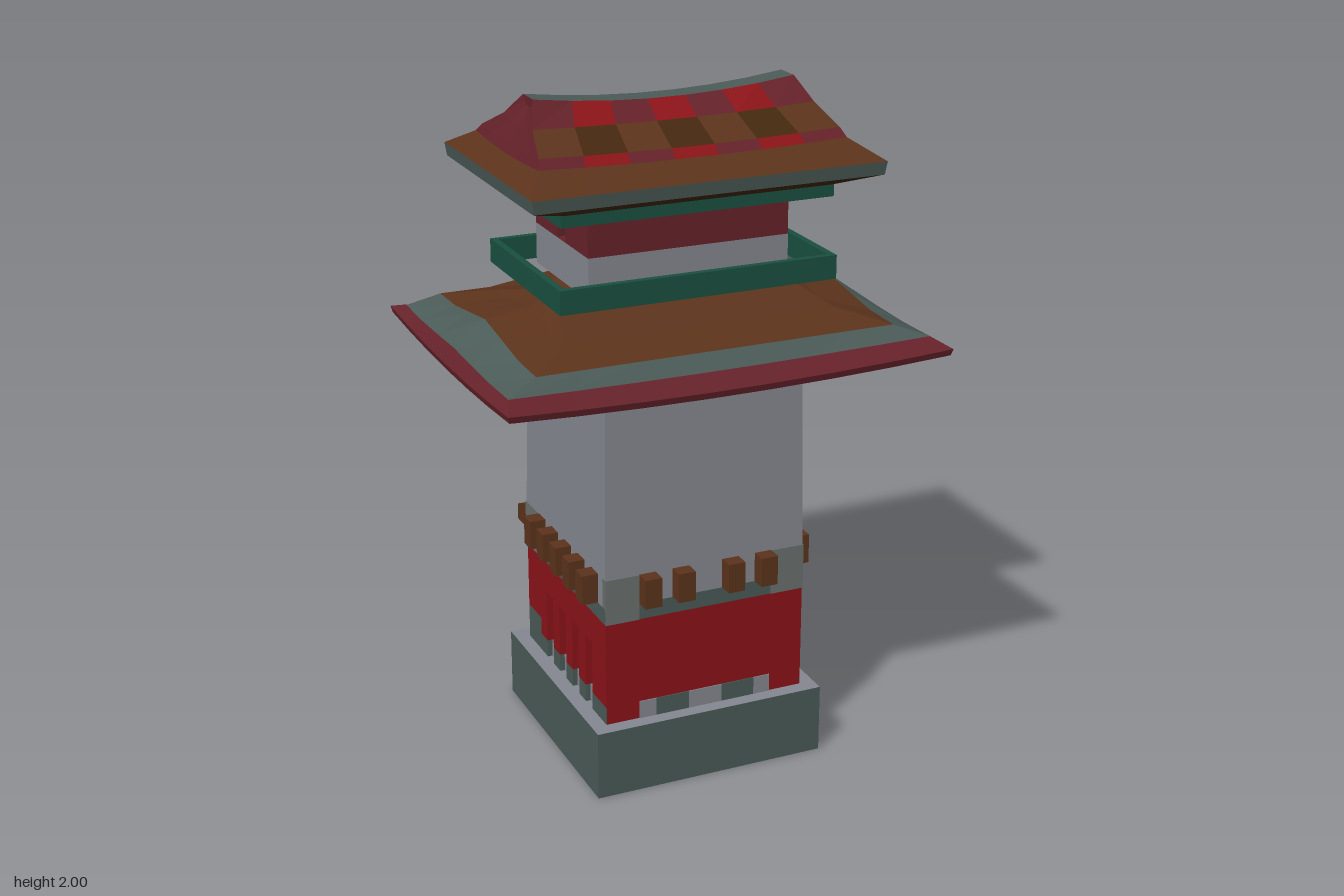
import * as THREE from 'three';

const GREY = 0x858890, RED = 0x8c1419, MAROON = 0x66222a, TEAL = 0x4b5b57;
const BROWN = 0x5c331c, DARK = 0x45280f, GREEN = 0x1a5040, PALE = 0x6a706f;
const U = 0.0525; // building module: the lower storey is 12 x 12 units

const mats = {};
const mat = (c) => (mats[c] ??= new THREE.MeshStandardMaterial({
  color: c, flatShading: true, side: THREE.DoubleSide }));

// Box given by its limits
function box(parent, name, color, x0, x1, y0, y1, z0, z1) {
  const m = new THREE.Mesh(new THREE.BoxGeometry(x1 - x0, y1 - y0, z1 - z0), mat(color));
  m.position.set((x0 + x1) / 2, (y0 + y1) / 2, (z0 + z1) / 2);
  m.name = name;
  parent.add(m);
  return m;
}

// Rectangular ring of points, counter-clockwise from above, with optional
// corner lift and humps in the middle of the sides and the back
const NX = 7, NZ = 6;
function ringPoints({ x, f, b, y, lift = 0, side = 0, back = 0 }) {
  const pts = [], hump = (t) => Math.max(0, 1 - Math.abs(t) * 1.4);
  const c = (f + b) / 2, h = (f - b) / 2;
  const steps = (n, fn) => {
    for (let i = 0; i < n; i++) pts.push(fn(-1 + (2 * i) / n));
  };
  steps(NX, (t) => [t * x, y + lift * t * t, f]);
  steps(NZ, (t) => [x, y + lift * t * t + side * hump(t), c - t * h]);
  steps(NX, (t) => [-t * x, y + lift * t * t + back * hump(t), b]);
  steps(NZ, (t) => [-x, y + lift * t * t + side * hump(t), c + t * h]);
  return pts;
}

// Skin between successive rings; one mesh per colour
function loft(parent, name, rings, colorOf) {
  const group = new THREE.Group(), byColor = new Map();
  group.name = name;
  const pts = rings.map(ringPoints), n = pts[0].length;
  for (let r = 0; r + 1 < rings.length; r++) {
    for (let i = 0; i < n; i++) {
      const j = (i + 1) % n, a = pts[r], b = pts[r + 1];
      const color = colorOf(r, i);
      if (!byColor.has(color)) byColor.set(color, []);
      byColor.get(color).push(...a[i], ...a[j], ...b[j], ...a[i], ...b[j], ...b[i]);
    }
  }
  for (const [color, verts] of byColor) {
    const g = new THREE.BufferGeometry();
    g.setAttribute('position', new THREE.Float32BufferAttribute(verts, 3));
    g.computeVertexNormals();
    const m = new THREE.Mesh(g, mat(color));
    m.name = name + 'Part';
    group.add(m);
  }
  parent.add(group);
}

// Wall of posts [from, to, base height] in units, with a lintel over the gaps;
// outer face at local z = 0, running along +x
function postWall(parent, name, posts) {
  const g = new THREE.Group();
  g.name = name;
  for (const [a, b, h = 0.265] of posts) {
    box(g, 'postBase', TEAL, a * U, b * U, 0.21, h, -U, 0);
    box(g, 'post', RED, a * U, b * U, h, 0.43, -U, 0);
  }
  box(g, 'lintel', RED, 0, 12 * U, 0.43, 0.53, -U, 0);
  parent.add(g);
  return g;
}

// Flat wall with rectangular windows, as an extruded shape
function windowWall(parent, name, w, y0, y1, windows) {
  const rect = (a, b, c, d) => [[a, c], [b, c], [b, d], [a, d]].map((p) => new THREE.Vector2(...p));
  const s = new THREE.Shape(rect(-w / 2, w / 2, y0, y1));
  for (const q of windows) s.holes.push(new THREE.Path(rect(...q).reverse()));
  const m = new THREE.Mesh(new THREE.ExtrudeGeometry(s, { depth: 0.05, bevelEnabled: false }), mat(MAROON));
  m.name = name;
  parent.add(m);
  return m;
}

// Open rectangular frame of four boards
function frame(parent, name, x, b, f, y0, y1, t) {
  for (const s of [-1, 1]) {
    const e = s * (x - t);
    box(parent, name, GREEN, Math.min(s * x, e), Math.max(s * x, e), y0, y1, b, f);
  }
  box(parent, name, GREEN, -x + t, x - t, y0, y1, f - t, f);
  box(parent, name, GREEN, -x + t, x - t, y0, y1, b, b + t);
}

export function createModel() {
  const model = new THREE.Group();
  model.name = 'watchtower';

  // Plinth with one plain grey side
  const plinth = box(model, 'plinth', TEAL, -0.36, 0.36, 0, 0.21, -0.38, 0.345);
  plinth.material = [GREY, TEAL, GREY, TEAL, TEAL, TEAL].map(mat);

  // Ground storey: open posts on the sides and back, closed front
  box(model, 'floor', GREY, -0.3, 0.3, 0.21, 0.264, -0.315, 0.285);
  for (const s of [-1, 1]) {
    const posts = [[0, 2], [3, 4], [5, 6], [7, 8], [9, 10], [10, 12, 0.32]];
    const wall = postWall(model, 'sideWall', s > 0 ? posts : posts.map(([a, b, h]) => [12 - b, 12 - a, h]));
    wall.rotation.y = (s * Math.PI) / 2;
    wall.position.set(s * 0.315, 0, s > 0 ? 0.298 : -0.328);
    wall.scale.x = 0.995;
  }
  const back = postWall(model, 'backWall', [[0, 1], [2, 3], [4, 5], [7, 8], [9, 10], [11, 12]]);
  back.rotation.y = Math.PI;
  back.position.set(0.314, 0, -0.33);
  back.scale.x = 0.996;
  box(model, 'frontWall', RED, -0.313, 0.313, 0.21, 0.53, 0.25, 0.3);
  for (const [a, b, c] of [[2, 3, GREY], [3, 5, TEAL], [5, 7, GREY], [7, 9, TEAL], [9, 10, GREY]])
    box(model, 'frontFootPanel', c, (a - 6) * U, (b - 6) * U, 0.21, 0.265, 0.29, 0.303);

  // Belt course and pale corner patches
  box(model, 'belt', TEAL, -0.315, 0.315, 0.53, 0.58, -0.333, 0.3);
  for (const s of [-1, 1]) {
    box(model, 'frontCorner', PALE, s * 0.2625 - U, s * 0.2625 + U, 0.53, 0.67, 0.28, 0.303);
    box(model, 'backCorner', PALE, s * 0.305 - 0.012, s * 0.305 + 0.012, 0.53, 0.67, -0.335, -0.225);
  }

  // Brackets under the shaft
  for (const k of [-3.5, -1.5, 1.5, 3.5])
    box(model, 'frontBracket', BROWN, (k - 0.5) * U, (k + 0.5) * U, 0.58, 0.67, 0.28, 0.345);
  for (const s of [-1, 1]) for (let i = 0; i < 5; i++) {
    const z = 0.22 - i * 2 * U;
    box(model, 'sideBracket', BROWN, s * 0.3325 - 0.03, s * 0.3325 + 0.03, 0.58, 0.67, z - U / 2, z + U / 2);
  }
  for (const k of [-5.5, -3.5, -1.5, 1.5, 3.5, 5.5]) {
    const m = box(model, 'backBracket', BROWN, (k - 0.5) * U, (k + 0.5) * U, 0.58, 0.67, -0.41, -0.31);
    const p = m.geometry.attributes.position; // sloping top
    for (let i = 0; i < p.count; i++) if (p.getZ(i) < 0 && p.getY(i) > 0) p.setY(i, 0.005);
    m.geometry.computeVertexNormals();
    m.material = [BROWN, BROWN, BROWN, BROWN, BROWN, TEAL].map(mat);
  }

  // Tapered shaft with timber strips down the back
  loft(model, 'shaft', [
    { x: 0.315, f: 0.3, b: -0.335, y: 0.58 },
    { x: 0.303, f: 0.288, b: -0.32, y: 1.27 },
  ], () => GREY);
  for (const [a, b] of [[2, 3], [5, 7], [9, 10]]) {
    const m = box(model, 'timberStrip', BROWN, (a - 6) * U, (b - 6) * U, 0.66, 1.265, -0.332, -0.324);
    m.rotation.x = 0.022;
  }

  // Lower roof: soffit, red rim, teal band, brown humped slopes, ridge
  const lowerColors = [TEAL, MAROON, MAROON, TEAL, BROWN, BROWN, BROWN, BROWN, BROWN];
  loft(model, 'lowerRoof', [
    { x: 0.28, f: 0.27, b: -0.3, y: 1.258 },
    { x: 0.66, f: 0.505, b: -0.505, y: 1.256, lift: 0.018 },
    { x: 0.665, f: 0.51, b: -0.51, y: 1.275, lift: 0.018 },
    { x: 0.635, f: 0.43, b: -0.445, y: 1.303, lift: 0.008, side: 0.012, back: 0.02 },
    { x: 0.54, f: 0.385, b: -0.41, y: 1.345, side: 0.04, back: 0.055 },
    { x: 0.41, f: 0.27, b: -0.27, y: 1.38, side: 0.03 },
    { x: 0.375, f: 0.14, b: -0.16, y: 1.408, side: 0.012 },
    { x: 0.29, f: 0.055, b: -0.08, y: 1.46 },
    { x: 0.25, f: 0.02, b: -0.05, y: 1.49 },
    { x: 0.25, f: -0.015, b: -0.015, y: 1.49 },
  ], (r) => lowerColors[r]);

  // Railing around the upper storey
  frame(model, 'railing', 0.42, -0.295, 0.26, 1.46, 1.53, 0.02);

  // Upper storey: grey floor block, maroon walls with windows
  box(model, 'upperBase', GREY, -0.305, 0.305, 1.465, 1.585, -0.22, 0.18);
  windowWall(model, 'upperFront', 0.606, 1.585, 1.7, []).position.z = 0.13;
  windowWall(model, 'upperBack', 0.606, 1.585, 1.7,
    [[-0.21, -0.13, 1.6, 1.65], [0.13, 0.21, 1.6, 1.65]]).position.z = -0.22;
  for (const s of [-1, 1]) {
    const m = windowWall(model, 'upperSide', 0.396, 1.585, 1.7, [[-0.028, 0.028, 1.587, 1.64]]);
    m.rotation.y = Math.PI / 2;
    m.position.set(s > 0 ? 0.255 : -0.305, 0, -0.02);
  }

  // Ceiling with green fascia
  box(model, 'ceiling', TEAL, -0.39, 0.39, 1.705, 1.735, -0.275, 0.23);
  frame(model, 'fascia', 0.41, -0.295, 0.25, 1.7, 1.735, 0.02);

  // Upper roof: soffit, teal edge, brown skirt, chequered bands, upswept ridge
  const chequer = (a, b) => (i) => {
    if (i < NX) return i % 2 ? a : b;
    if (i >= NX + NZ && i < 2 * NX + NZ) return (i - NX - NZ) % 2 ? a : b;
    return b;
  };
  const upperColors = [() => DARK, () => TEAL, () => BROWN, chequer(RED, MAROON),
    chequer(DARK, BROWN), chequer(RED, MAROON), () => TEAL];
  loft(model, 'upperRoof', [
    { x: 0.39, f: 0.24, b: -0.285, y: 1.73 },
    { x: 0.52, f: 0.34, b: -0.36, y: 1.772 },
    { x: 0.525, f: 0.345, b: -0.365, y: 1.81 },
    { x: 0.46, f: 0.225, b: -0.275, y: 1.848, lift: 0.01 },
    { x: 0.45, f: 0.2, b: -0.245, y: 1.873, lift: 0.01 },
    { x: 0.425, f: 0.09, b: -0.135, y: 1.925, lift: 0.01 },
    { x: 0.395, f: 0.02, b: -0.058, y: 1.972, lift: 0.028 },
    { x: 0.395, f: -0.019, b: -0.019, y: 1.972, lift: 0.028 },
  ], (r, i) => {
    const onEnd = (i >= NX && i < NX + NZ) || i >= 2 * NX + NZ;
    return onEnd && r > 2 ? MAROON : upperColors[r](i);
  });

  return model;
}
